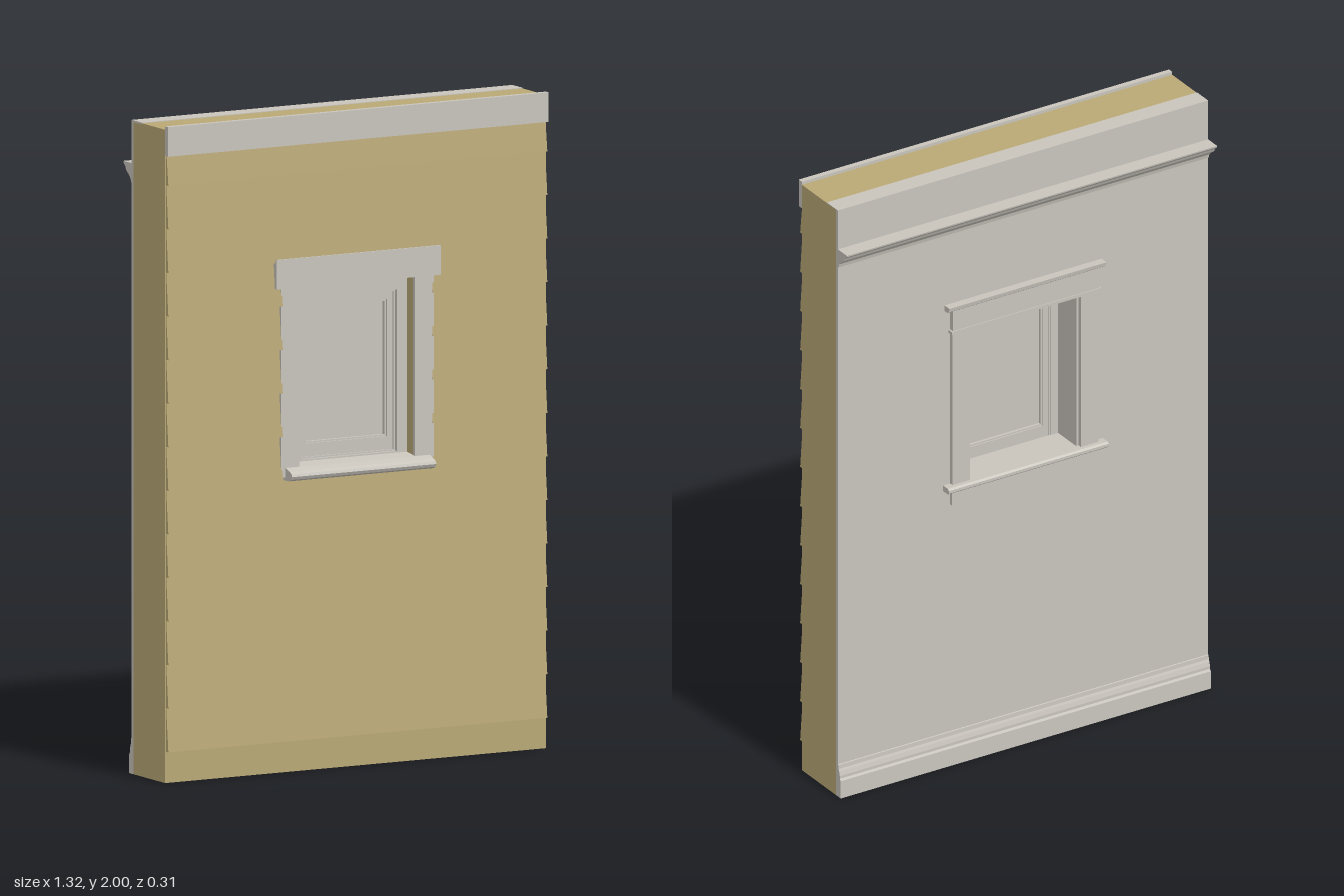
import * as THREE from 'three';

const tan = new THREE.MeshStandardMaterial({ color: 0xb9a876 });
tan.name = 'tan siding';
const grey = new THREE.MeshStandardMaterial({ color: 0xc8c4bc });
grey.name = 'light grey trim';

export function createModel() {
  const model = new THREE.Group();
  model.name = 'wallSectionWithWindow';
  const W = 0.66;

  const add = (name, geometry, material = grey) => {
    const mesh = new THREE.Mesh(geometry, material);
    mesh.name = name;
    model.add(mesh);
    return mesh;
  };

  // Box given by its two corners
  const box = (name, x0, x1, y0, y1, z0, z1, material) => {
    const g = new THREE.BoxGeometry(x1 - x0, y1 - y0, z1 - z0);
    g.translate((x0 + x1) / 2, (y0 + y1) / 2, (z0 + z1) / 2);
    return add(name, g, material);
  };

  const rect = (Type, hw, y0, y1) => new Type([[-hw, y0], [hw, y0], [hw, y1], [-hw, y1]]
    .map(([x, y]) => new THREE.Vector2(x, y)));

  // Rectangular panel with a rectangular opening: [half width, bottom, top]
  const ring = (name, outer, inner, z0, z1, material) => {
    const shape = rect(THREE.Shape, ...outer);
    shape.holes.push(rect(THREE.Path, ...inner));
    const g = new THREE.ExtrudeGeometry(shape, { depth: z1 - z0, bevelEnabled: false });
    return add(name, g.translate(0, 0, z0), material);
  };

  // Moulding: a [z, y] profile swept along x
  const moulding = (name, profile, x0, x1, material) => {
    const shape = new THREE.Shape(profile.map(([z, y]) => new THREE.Vector2(z, y)));
    const g = new THREE.ExtrudeGeometry(shape, { depth: x1 - x0, bevelEnabled: false });
    return add(name, g.rotateY(-Math.PI / 2).translate(x1, 0, 0), material);
  };

  // Wall core, interior plaster and top plate
  const opening = [0.2, 0.9, 1.475];
  ring('wallCore', [W, 0, 1.99], opening, -0.092, 0.1, tan);
  ring('interiorPlaster', [W, 0, 1.99], opening, -0.102, -0.092);
  box('topPlate', -W, W, 1.985, 1.992, -0.102, -0.04);

  // Lapped siding, interrupted by the window
  const lap = 0.1327, sideEdge = 0.657;
  for (let i = 0; i < 14; i++) {
    const y0 = 0.095 + i * lap, y1 = Math.min(y0 + lap, 1.93);
    const profile = [[0.098, y0], [0.114, y0], [0.101, y1], [0.098, y1]];
    if (i >= 6 && i <= 10) {
      moulding('sidingBoardRight', profile, -sideEdge, -0.26, tan);
      moulding('sidingBoardLeft', profile, 0.26, sideEdge, tan);
    } else {
      moulding('sidingBoard', profile, -sideEdge, sideEdge, tan);
    }
  }

  // Exterior trim
  box('friezeBoard', -W, W, 1.91, 2, 0.099, 0.117);
  box('exteriorHeadCasing', -0.285, 0.285, 1.475, 1.565, 0.099, 0.119);
  for (const s of [-1, 1]) {
    const a = s * 0.2, b = s * 0.265;
    box('exteriorSideCasing', Math.min(a, b), Math.max(a, b), 0.9, 1.475, 0.099, 0.111);
  }
  moulding('exteriorSill', [[0.04, 0.9], [0.11, 0.89], [0.135, 0.891], [0.148, 0.897], [0.153, 0.906],
    [0.15, 0.914], [0.14, 0.92], [0.115, 0.928], [0.04, 0.938]], -0.25, 0.25);

  // Window unit: frame, sash, glazing bead and pane
  ring('jambLiner', opening, [0.19, 0.925, 1.465], -0.102, 0.01);
  ring('windowFrame', opening, [0.165, 0.94, 1.432], 0, 0.062);
  ring('sash', [0.166, 0.935, 1.434], [0.14, 0.985, 1.402], 0.008, 0.046);
  ring('sashEdgeBead', [0.166, 0.935, 1.434], [0.159, 0.945, 1.426], 0.004, 0.052);
  ring('glazingBead', [0.141, 0.975, 1.403], [0.135, 0.99, 1.396], 0.012, 0.04);
  box('pane', -0.14, 0.14, 0.975, 1.403, 0.021, 0.029);

  // Interior window trim
  for (const s of [-1, 1]) {
    const a = s * 0.198, b = s * 0.26;
    box('interiorSideCasing', Math.min(a, b), Math.max(a, b), 0.95, 1.47, -0.115, -0.1);
  }
  box('interiorHeadCasing', -0.26, 0.26, 1.47, 1.546, -0.118, -0.1);
  box('interiorHeadBead', -0.266, 0.266, 1.465, 1.475, -0.121, -0.1);
  moulding('interiorHeadCap', [[-0.1, 1.543], [-0.118, 1.543], [-0.128, 1.55], [-0.13, 1.562],
    [-0.1, 1.562]], -0.28, 0.28);
  box('interiorStoolInner', -0.19, 0.19, 0.932, 0.95, -0.102, 0.002);
  moulding('interiorStool', [[-0.1, 0.932], [-0.129, 0.932], [-0.135, 0.937], [-0.135, 0.946],
    [-0.129, 0.951], [-0.1, 0.951]], -0.285, 0.285);
  box('interiorApron', -0.26, 0.26, 0.88, 0.932, -0.112, -0.1);

  // Crown moulding and baseboard
  moulding('crownMoulding', [[-0.1, 1.8], [-0.106, 1.8], [-0.109, 1.812], [-0.117, 1.821], [-0.127, 1.828],
    [-0.136, 1.835], [-0.141, 1.845], [-0.152, 1.855], [-0.153, 1.86], [-0.1, 1.86]], -W, W);
  moulding('baseboard', [[-0.1, 0], [-0.118, 0], [-0.117, 0.058], [-0.113, 0.065], [-0.113, 0.074],
    [-0.109, 0.088], [-0.106, 0.095], [-0.105, 0.108], [-0.1, 0.11]], -W, W);

  return model;
}
